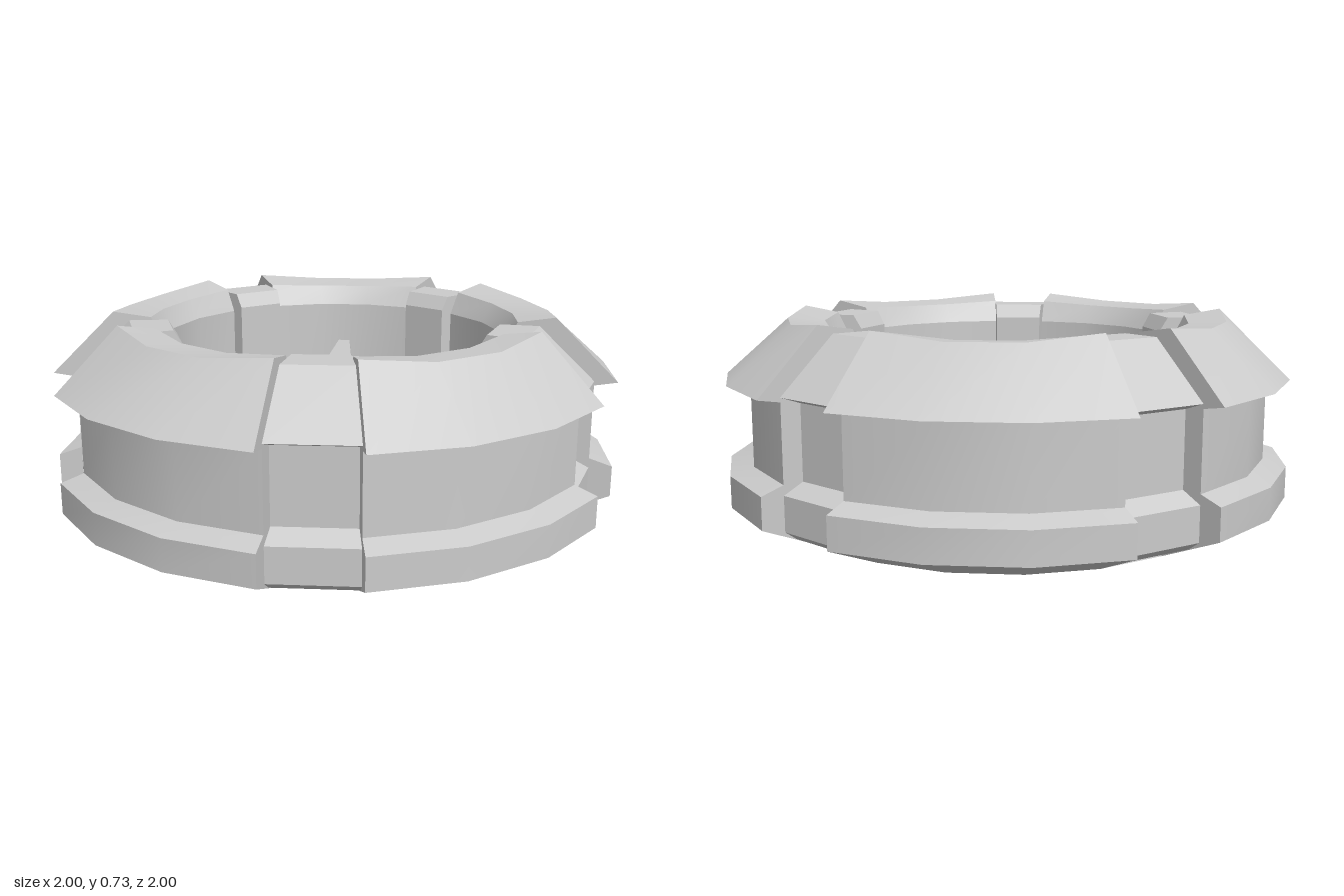
import * as THREE from 'three';
import { toCreasedNormals } from 'three/addons/utils/BufferGeometryUtils.js';

const STEP = Math.PI / 10; // twenty sides around
const FLOOR = 0.41;
const material = new THREE.MeshStandardMaterial({ color: 0xcccccc });

// Sweeps a closed (radius, height) section around y, capped at both ends.
// Points with a third value are lifted by it at the two ends.
function sector(section, start, sides) {
  const pos = [];
  const at = (i, k) => {
    const [r, y, lift = 0] = section[i % section.length];
    const a = (start + k) * STEP;
    const end = k === 0 || k === sides;
    return [r * Math.sin(a), y + (end ? lift : 0), r * Math.cos(a)];
  };
  for (let k = 0; k < sides; k++) {
    for (let i = 0; i < section.length; i++) {
      const a = at(i, k), b = at(i, k + 1), c = at(i + 1, k + 1), d = at(i + 1, k);
      pos.push(...a, ...b, ...c, ...a, ...c, ...d);
    }
  }
  const outline = section.map(([r, y]) => new THREE.Vector2(r, y));
  for (const [a, b, c] of THREE.ShapeUtils.triangulateShape(outline, [])) {
    pos.push(...at(a, 0), ...at(b, 0), ...at(c, 0));
    pos.push(...at(a, sides), ...at(c, sides), ...at(b, sides));
  }
  const geometry = new THREE.BufferGeometry();
  geometry.setAttribute('position', new THREE.Float32BufferAttribute(pos, 3));
  return toCreasedNormals(geometry, 0.4);
}

// Tapered bar running along +z, with a narrower top
function spokeGeometry() {
  const z0 = 0.2, z1 = 0.6;
  const geometry = new THREE.BoxGeometry(1, 1, 1);
  const p = geometry.attributes.position;
  for (let i = 0; i < p.count; i++) {
    const outer = p.getZ(i) > 0, top = p.getY(i) > 0;
    const half = (outer ? 0.034 : 0.065) - (top ? 0.012 : 0);
    p.setXYZ(i, Math.sign(p.getX(i)) * half, top ? 0.48 : FLOOR - 0.02, outer ? z1 : z0);
  }
  geometry.computeVertexNormals();
  return geometry;
}

export function createModel() {
  const group = new THREE.Group();
  const add = (name, geometry) => {
    const mesh = new THREE.Mesh(geometry, material);
    mesh.name = name;
    group.add(mesh);
    return mesh;
  };

  // Wide armour panel: bottom bevel, lower rim, waist, overhanging upper rim
  const panel = [
    [0.61, 0.05], [0.77, 0], [1, 0.1], [1, 0.21], [0.92, 0.235], [0.92, 0.5],
    [1, 0.515], [0.78, 0.71, 0.022], [0.65, 0.7, 0.01], [0.61, 0.63],
  ];
  // Narrow block between panels: set back outside, standing proud inside
  const block = [
    [0.56, 0.05], [0.77, 0.012], [0.88, 0.05], [0.92, 0.08], [0.92, 0.2], [0.85, 0.235],
    [0.85, 0.49], [0.92, 0.515], [0.725, 0.7], [0.59, 0.7], [0.56, 0.65],
  ];
  const spoke = spokeGeometry();
  for (let i = 0; i < 5; i++) {
    add('rimPanel', sector(panel, i * 4 - 1, 3));
    add('rimBlock', sector(block, i * 4 + 2, 1));
    add('spoke', spoke).rotation.y = (i * 4 + 0.5) * STEP;
  }

  // Solid core giving the underside and the recessed floor
  const core = new THREE.CylinderGeometry(0.65, 0.77, FLOOR, 20);
  core.translate(0, FLOOR / 2, 0);
  add('core', toCreasedNormals(core, 0.4));

  // Central hub with a ringed socket and raised button
  const hub = [
    [0.27, FLOOR - 0.01], [0.255, 0.44], [0.18, 0.49], [0.15, 0.49], [0.115, 0.455],
    [0.1, 0.455], [0.085, 0.48], [0.07, 0.49], [0, 0.49],
  ].map(([r, y]) => new THREE.Vector2(r, y));
  add('hub', toCreasedNormals(new THREE.LatheGeometry(hub, 20), 0.4));

  return group;
}
